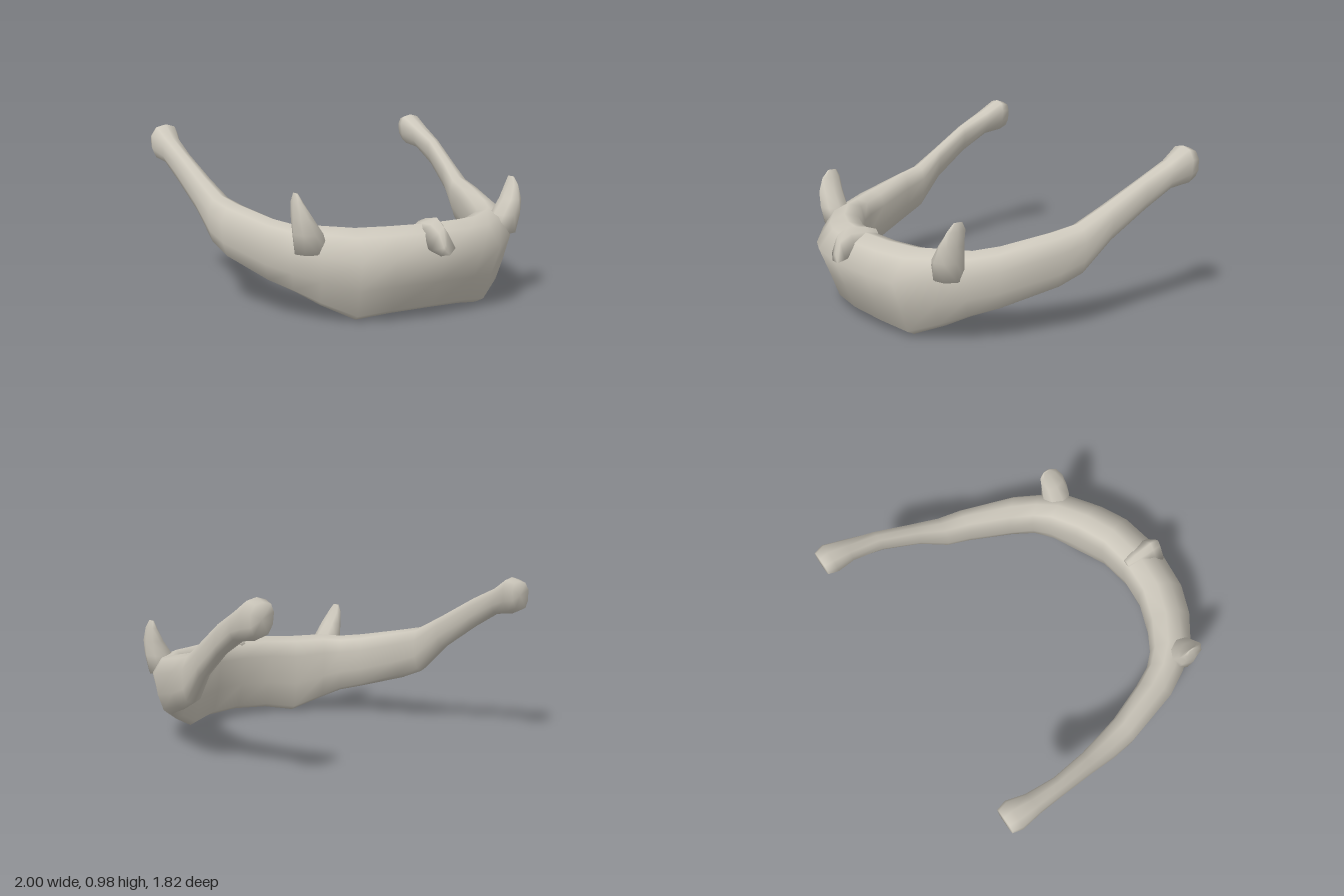
import * as THREE from 'three';

// Skin a list of equal-length rings of [x, y, z] points and cap both ends.
function loft(rings) {
  const n = rings[0].length, last = (rings.length - 1) * n;
  const pos = rings.flat(2), index = [];
  for (let i = 0; i < rings.length - 1; i++) {
    for (let k = 0; k < n; k++) {
      const a = i * n + k, b = i * n + (k + 1) % n;
      index.push(a, b, a + n, b, b + n, a + n);
    }
  }
  [rings[0], rings[rings.length - 1]].forEach((ring, end) => {
    const c = pos.length / 3, base = end ? last : 0;
    for (let j = 0; j < 3; j++) pos.push(ring.reduce((s, p) => s + p[j], 0) / n);
    for (let k = 0; k < n; k++) {
      const a = base + k, b = base + (k + 1) % n;
      if (end) index.push(c, a, b);
      else index.push(c, b, a);
    }
  });
  const g = new THREE.BufferGeometry();
  g.setAttribute('position', new THREE.Float32BufferAttribute(pos, 3));
  g.setIndex(index);
  g.computeVertexNormals();
  return g;
}

// Cross-sections as [across from inner to outer, up from bottom to top]
const chinProfile = [[0, 0.75], [0.08, 0.95], [0.38, 1], [0.7, 0.92], [1, 0.68],
  [0.78, 0.35], [0.6, 0.06], [0.4, 0], [0.22, 0.06], [0.08, 0.38]];
const armProfile = [[0, 0.7], [0.12, 0.93], [0.45, 1], [0.8, 0.93], [1, 0.68],
  [0.99, 0.3], [0.85, 0.06], [0.55, 0], [0.25, 0.07], [0.05, 0.35]];

// Stations of one half: outer x, z, inner x, z, bottom y, top y, arm blend
const stations = [
  [0, 0.91, 0, 0.62, 0.04, 0.51, 0],
  [0.28, 0.87, 0.19, 0.6, 0.03, 0.51, 0],
  [0.45, 0.8, 0.37, 0.53, 0, 0.505, 0],
  [0.62, 0.67, 0.52, 0.43, 0.08, 0.515, 0.2],
  [0.73, 0.52, 0.59, 0.35, 0.14, 0.51, 0.4],
  [0.81, 0.36, 0.65, 0.22, 0.18, 0.53, 0.6],
  [0.905, 0, 0.74, -0.02, 0.27, 0.585, 0.8],
  [0.92, -0.15, 0.775, -0.16, 0.33, 0.615, 0.9],
  [0.935, -0.33, 0.82, -0.32, 0.5, 0.705, 1],
  [0.96, -0.55, 0.86, -0.55, 0.65, 0.83, 1],
  [0.98, -0.72, 0.855, -0.74, 0.75, 0.91, 1],
  [1, -0.85, 0.83, -0.85, 0.765, 0.98, 1],
  [0.985, -0.91, 0.845, -0.91, 0.79, 0.96, 1],
];

function jawRing([ox, oz, ix, iz, bottom, top, blend], side) {
  return chinProfile.map(([u0, v0], k) => {
    const u = THREE.MathUtils.lerp(u0, armProfile[k][0], blend);
    const v = THREE.MathUtils.lerp(v0, armProfile[k][1], blend);
    return [side * (ix + (ox - ix) * u), bottom + (top - bottom) * v, iz + (oz - iz) * u];
  });
}

// Upright blade-like tusk leaning outwards
function tuskGeometry(side) {
  const levels = [ // centre x, y, z, radius x, z
    [0.625, 0.38, 0.56, 0.1, 0.09],
    [0.655, 0.49, 0.575, 0.085, 0.09],
    [0.69, 0.58, 0.575, 0.052, 0.08],
    [0.71, 0.66, 0.56, 0.022, 0.06],
    [0.713, 0.705, 0.55, 0.006, 0.028],
  ];
  return loft(levels.map(([x, y, z, rx, rz]) => Array.from({ length: 8 }, (_, k) => {
    const a = k / 8 * Math.PI * 2;
    return [side * x + rx * Math.cos(a), y, z - rz * Math.sin(a)];
  })));
}

export function createModel() {
  const model = new THREE.Group();
  model.name = 'jawbone';
  const bone = new THREE.MeshStandardMaterial({ color: 0xcdc8bc });
  bone.name = 'bone';
  const add = (name, geometry) => {
    const mesh = new THREE.Mesh(geometry, bone);
    mesh.name = name;
    model.add(mesh);
  };

  // Curved jaw with both arms, in one sweep from right tip to left tip
  const rings = [
    ...stations.slice(1).reverse().map((s) => jawRing(s, -1)),
    ...stations.map((s) => jawRing(s, 1)),
  ];
  add('jaw', loft(rings));

  add('leftTusk', tuskGeometry(1));
  add('rightTusk', tuskGeometry(-1));

  // Small crest over the middle of the chin: z, peak y, half width, base y
  const crest = [
    [0.64, 0.51, 0.05, 0.46], [0.71, 0.535, 0.09, 0.45], [0.82, 0.555, 0.1, 0.42],
    [0.885, 0.515, 0.08, 0.39], [0.908, 0.42, 0.03, 0.36],
  ];
  add('chinCrest', loft(crest.map(([z, peak, w, base]) => {
    const shoulder = base + (peak - base) * 0.72;
    return [[w, base, z], [w * 0.35, shoulder, z], [0, peak, z],
      [-w * 0.35, shoulder, z], [-w, base, z]];
  })));

  return model;
}
